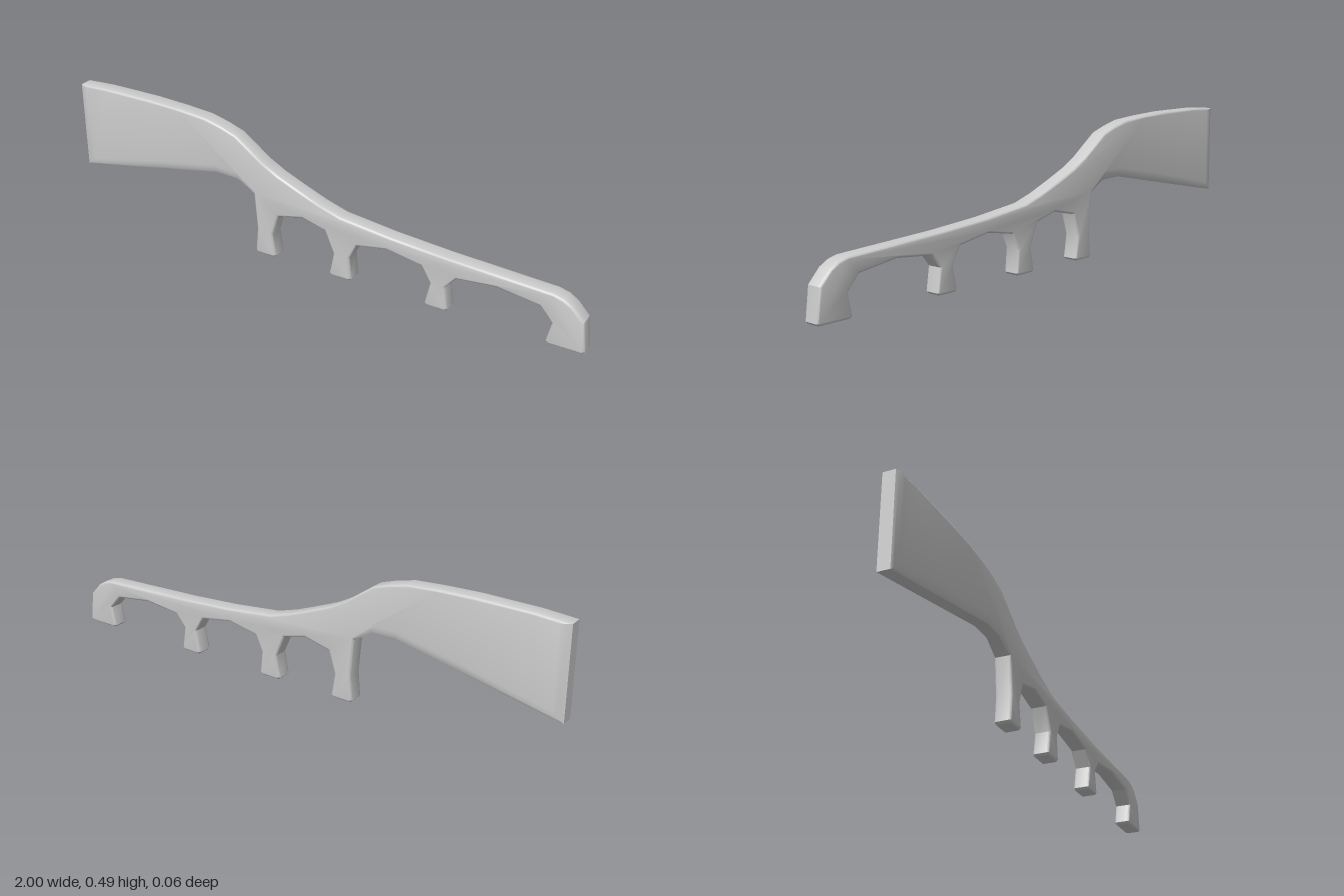
import * as THREE from 'three';
import { toCreasedNormals } from 'three/addons/utils/BufferGeometryUtils.js';

const HALF = 0.03;   // half thickness
const BEVEL = 0.008; // rounded rim

// Underside from the butt to the tip, with four feet
const underside = [
  [-1, 0.155], [-0.65, 0.225], [-0.4, 0.275], [-0.31, 0.272], [-0.24, 0.235],
  [-0.228, 0.1], [-0.236, 0.008], [-0.228, 0], [-0.16, 0], [-0.152, 0.008], [-0.165, 0.09], [-0.14, 0.17],
  [-0.04, 0.193], [0.05, 0.17],
  [0.085, 0.09], [0.07, 0.008], [0.078, 0], [0.148, 0], [0.156, 0.008], [0.148, 0.09], [0.175, 0.147],
  [0.29, 0.168], [0.42, 0.147],
  [0.455, 0.09], [0.438, 0.008], [0.446, 0], [0.514, 0], [0.522, 0.008], [0.51, 0.09], [0.548, 0.135],
  [0.69, 0.15], [0.84, 0.13],
  [0.884, 0.08], [0.868, 0.008], [0.876, 0], [0.992, 0], [1, 0.008],
];
// Top edge from the tip back to the butt
const topEdge = [
  [0.987, 0.115], [0.945, 0.16], [0.915, 0.178], [0.88, 0.187], [0.69, 0.195], [0.5, 0.203],
  [0.3, 0.217], [0.11, 0.238], [0.03, 0.262], [-0.06, 0.297], [-0.14, 0.33], [-0.2, 0.362],
  [-0.31, 0.44], [-0.37, 0.46], [-0.44, 0.477], [-0.55, 0.485], [-0.68, 0.49], [-0.88, 0.489], [-1, 0.482],
];

export function createModel() {
  const model = new THREE.Group();
  const outline = new THREE.Shape([...underside, ...topEdge].map(([x, y]) => new THREE.Vector2(x, y)));
  const geometry = new THREE.ExtrudeGeometry(outline, {
    depth: 2 * (HALF - BEVEL), bevelThickness: BEVEL, bevelSize: BEVEL,
    bevelOffset: -BEVEL, bevelSegments: 3,
  });
  geometry.translate(0, 0, BEVEL - HALF);

  // Widen the bevel along the lower edge of the wide end and at its butt
  const p = geometry.attributes.position;
  for (let i = 0; i < p.count; i++) {
    const x = p.getX(i), y = p.getY(i);
    const t = Math.max(0, (Math.abs(p.getZ(i)) - HALF + BEVEL) / BEVEL);
    if (x < -0.28 && y < 0.3) p.setY(i, y + 0.025 * t * t);
    if (x < -0.95) p.setX(i, x + 0.03 * t * t);
  }

  const body = new THREE.Mesh(
    toCreasedNormals(geometry, 0.6),
    new THREE.MeshStandardMaterial({ color: 0xcccccc })
  );
  body.name = 'footedRail';
  model.add(body);
  return model;
}
